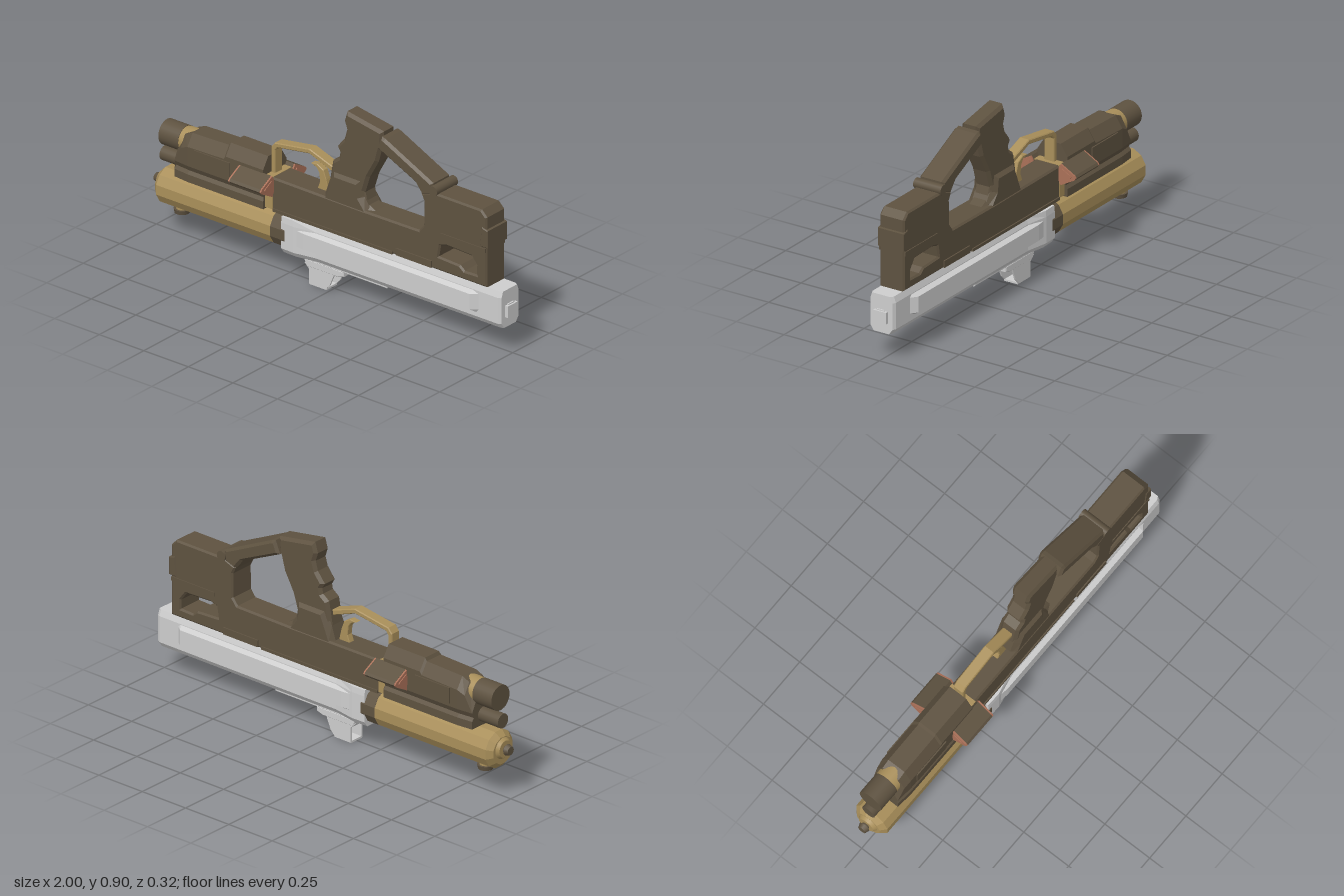
import * as THREE from 'three';

const mat = (name, color) => {
  const m = new THREE.MeshStandardMaterial({ color });
  m.name = name;
  return m;
};

export function createModel() {
  const root = new THREE.Group();
  const dark = mat('dark olive brown', 0x5e5240);
  const gold = mat('antique gold', 0xa98f5a);
  const silver = mat('pale silver', 0xcdcdcd);
  const copper = mat('copper', 0xaa7058);

  const add = (name, geo, m) => {
    const mesh = new THREE.Mesh(geo, m);
    mesh.name = name;
    root.add(mesh);
    return mesh;
  };
  const flat = (g) => {
    const f = g.index ? g.toNonIndexed() : g;
    f.computeVertexNormals();
    return f;
  };
  const vecs = (pts) => pts.map(([x, y]) => new THREE.Vector2(x, y));

  // side profile in x,y, extruded symmetrically across z
  const slab = (name, pts, w, m, bevel = 0.01, holes = []) => {
    const s = new THREE.Shape(vecs(pts));
    holes.forEach((h) => s.holes.push(new THREE.Path(vecs(h))));
    const g = new THREE.ExtrudeGeometry(s, {
      depth: 2 * (w - bevel), bevelEnabled: bevel > 0, bevelThickness: bevel,
      bevelSize: bevel, bevelOffset: -bevel, bevelSegments: 1,
    });
    g.translate(0, 0, bevel - w);
    return add(name, g, m);
  };
  const box = (name, x0, x1, y0, y1, w, m) => {
    const g = new THREE.BoxGeometry(x1 - x0, y1 - y0, 2 * w);
    g.translate((x0 + x1) / 2, (y0 + y1) / 2, 0);
    return add(name, g, m);
  };
  // round part along x, r0 at the muzzle end
  const rod = (name, x0, x1, y, r0, r1, m, n = 24, faceted = false) => {
    const g = new THREE.CylinderGeometry(r0, r1, x1 - x0, n);
    if (faceted) g.rotateY(Math.PI / n);
    g.rotateZ(Math.PI / 2).translate((x0 + x1) / 2, y, 0);
    return add(name, faceted ? flat(g) : g, m);
  };
  // mirrored cross-sections [x, [[z, y] from top to bottom]] joined along x
  const loft = (name, sections, m) => {
    const rings = sections.map(([x, half]) => [
      ...half.map(([z, y]) => [x, y, z]),
      ...half.slice().reverse().map(([z, y]) => [x, y, -z]),
    ]);
    const p = [];
    const n = rings[0].length;
    for (let i = 0; i < rings.length - 1; i++) {
      for (let j = 0; j < n; j++) {
        const k = (j + 1) % n;
        const [a, b, c, d] = [rings[i][j], rings[i][k], rings[i + 1][k], rings[i + 1][j]];
        p.push(...a, ...b, ...c, ...a, ...c, ...d);
      }
    }
    const first = rings[0];
    const last = rings[rings.length - 1];
    for (let j = 1; j < n - 1; j++) {
      p.push(...first[0], ...first[j + 1], ...first[j]);
      p.push(...last[0], ...last[j], ...last[j + 1]);
    }
    const g = new THREE.BufferGeometry();
    g.setAttribute('position', new THREE.Float32BufferAttribute(p, 3));
    g.computeVertexNormals();
    return add(name, g, m);
  };

  // --- gold front tube with stepped nose and lower knob ---
  rod('frontTube', -0.93, -0.28, 0.22, 0.09, 0.09, gold, 12, true);
  rod('frontTubeBevel', -0.955, -0.93, 0.22, 0.065, 0.09, gold, 12, true);
  rod('noseDisc', -0.97, -0.955, 0.23, 0.04, 0.05, gold);
  rod('noseStem', -0.985, -0.965, 0.23, 0.018, 0.018, dark);
  rod('noseTip', -1, -0.98, 0.23, 0.02, 0.027, dark, 12);
  rod('tubeCollar', -0.29, -0.21, 0.22, 0.091, 0.091, dark, 12, true);
  const knob = new THREE.CylinderGeometry(0.028, 0.028, 0.05, 20);
  add('knobStem', knob.translate(-0.855, 0.135, 0), gold);
  const cap = new THREE.CylinderGeometry(0.038, 0.034, 0.02, 20);
  add('knobCap', cap.translate(-0.855, 0.114, 0), dark);

  // --- silver lower body, flared at its front, with side rails ---
  const core = (w, top) => [[top, 0.308], [w, 0.28], [w, 0.155], [w - 0.018, 0.13]];
  loft('lowerBody', [
    [-0.23, core(0.085, 0.082)], [-0.16, core(0.088, 0.085)],
    [-0.05, core(0.068, 0.058)], [0.97, core(0.066, 0.056)], [0.985, core(0.058, 0.048)],
  ], silver);
  const rail = (w) => [[0.05, 0.285], [w, 0.265], [w, 0.19], [0.05, 0.165]];
  loft('sideRails', [
    [-0.2, rail(0.078)], [-0.1, rail(0.09)], [0.83, rail(0.09)], [0.862, rail(0.066)],
  ], silver);
  box('endBoss', 0.98, 1, 0.18, 0.235, 0.034, silver);
  box('endLatch', 0.98, 0.992, 0.22, 0.24, 0.02, silver);

  // --- silver underside rail and hollow clip ---
  slab('bottomRail', [[-0.22, 0.14], [-0.2, 0.115], [0.325, 0.115], [0.325, 0.14]], 0.042, silver, 0.004);
  slab('clipMount', [[-0.14, 0.12], [-0.125, 0.085], [0.05, 0.085], [0.085, 0.095], [0.085, 0.12]], 0.042, silver, 0.004);
  const clipSide = [[-0.135, 0.1], [-0.11, 0.075], [-0.11, 0.004], [-0.02, 0.004], [0.005, 0.03], [0.035, 0.1]];
  for (const s of [1, -1]) {
    slab(s > 0 ? 'clipLeft' : 'clipRight', clipSide, 0.004, silver, 0).position.z = s * 0.036;
  }
  box('clipBase', -0.11, -0.015, 0, 0.009, 0.036, silver);

  // --- dark receiver with window and rear block ---
  slab('receiver', [
    [-0.3, 0.308], [0.905, 0.308], [0.905, 0.645], [0.875, 0.675], [0.6, 0.675], [0.535, 0.65],
    [0.552, 0.615], [0.55, 0.5], [0.525, 0.468], [0.2, 0.465], [-0.3, 0.468],
  ], 0.065, dark, 0.008, [[
    [0.635, 0.375], [0.645, 0.43], [0.68, 0.44], [0.82, 0.435], [0.85, 0.395],
    [0.85, 0.352], [0.78, 0.35], [0.755, 0.37],
  ]]);
  slab('rearPlate', [[0.87, 0.5], [0.915, 0.5], [0.915, 0.585], [0.88, 0.595]], 0.069, dark, 0.004);
  box('rearBand', 0.65, 0.9, 0.475, 0.495, 0.069, dark);
  box('lowerStrip', 0.4, 0.6, 0.312, 0.345, 0.071, dark);
  box('frontStrip', -0.29, 0.38, 0.308, 0.322, 0.071, dark);

  // --- grip with finger grooves, curved back into the receiver ---
  slab('grip', [
    [-0.01, 0.45], [0, 0.53], [0.02, 0.64], [0.055, 0.665], [0.06, 0.69], [0.045, 0.715],
    [0.085, 0.765], [0.098, 0.81], [0.085, 0.85], [0.1, 0.9], [0.305, 0.865], [0.3, 0.8],
    [0.275, 0.71], [0.225, 0.62], [0.2, 0.54], [0.215, 0.488], [0.26, 0.465], [0.28, 0.45],
  ], 0.046, dark, 0.014);
  slab('gripBase', [[-0.03, 0.44], [0, 0.53], [0.03, 0.6], [0.19, 0.6], [0.2, 0.52], [0.25, 0.44]], 0.062, dark, 0.025);
  slab('topStrut', [
    [0.285, 0.79], [0.31, 0.85], [0.33, 0.845], [0.6, 0.715], [0.6, 0.66], [0.54, 0.64], [0.5, 0.69],
  ], 0.065, dark, 0.012);
  const hinge = new THREE.CylinderGeometry(0.024, 0.024, 0.144, 16);
  add('strutHinge', hinge.rotateX(Math.PI / 2).translate(0.61, 0.685, 0), dark);

  // --- dark front housing, sight and lower rod ---
  const shell = (top, w = 0.08) => [
    [0.045, top], [w, top - 0.055], [w, 0.385], [w - 0.012, 0.36], [w, 0.345], [w, 0.308],
  ];
  loft('frontHousing', [
    [-0.84, shell(0.44, 0.072)], [-0.8, shell(0.515, 0.076)], [-0.76, shell(0.532)],
    [-0.555, shell(0.538)], [-0.545, shell(0.552)], [-0.335, shell(0.552)],
  ], dark);
  rod('sightBarrel', -0.94, -0.83, 0.467, 0.06, 0.06, dark, 28);
  rod('sightCollar', -0.835, -0.765, 0.467, 0.058, 0.062, gold, 28);
  rod('lowerRod', -0.955, -0.82, 0.36, 0.034, 0.034, dark, 20);
  for (const s of [1, -1]) {
    box('housingPanel', -0.72, -0.52, 0.4, 0.475, 0.004, dark).position.z = s * 0.082;
  }

  // --- triangular side pods with nested copper end plates ---
  const tri = (k) => {
    const [cz, cy] = [0.1, 0.432];
    return [[0.066, 0.462], [0.078, 0.483], [0.15, 0.443], [0.158, 0.432], [0.15, 0.421], [0.078, 0.381], [0.066, 0.402]]
      .map(([z, y]) => new THREE.Vector2(cz + (z - cz) * k, cy + (y - cy) * k));
  };
  const pod = (name, k, x0, x1, s, m) => {
    const g = new THREE.ExtrudeGeometry(new THREE.Shape(tri(k)), { depth: x1 - x0, bevelEnabled: false });
    g.rotateY(Math.PI / 2).translate(x0, 0, 0);
    // the profile now lies toward -z; turn it about the pod's middle for the other side
    if (s > 0) g.translate(-(x0 + x1) / 2, 0, 0).rotateY(Math.PI).translate((x0 + x1) / 2, 0, 0);
    add(name, g, m);
  };
  for (const s of [1, -1]) {
    pod('sidePod', 1, -0.462, -0.293, s, dark);
    pod('podEndPlates', 0.98, -0.47, -0.285, s, copper);
    pod('podInsets', 0.6, -0.474, -0.281, s, copper);
  }

  // --- gold trigger guard and trigger ---
  slab('triggerGuard', [
    [-0.335, 0.46], [-0.335, 0.59], [-0.315, 0.615], [-0.12, 0.645], [0.01, 0.6], [0.005, 0.575],
    [-0.122, 0.622], [-0.3, 0.595], [-0.312, 0.58], [-0.312, 0.46],
  ], 0.026, gold, 0.004);
  box('guardPost', -0.34, -0.295, 0.315, 0.47, 0.066, gold);
  slab('trigger', [
    [-0.12, 0.575], [-0.085, 0.58], [-0.05, 0.56], [-0.035, 0.52], [-0.02, 0.46],
    [-0.085, 0.46], [-0.07, 0.5], [-0.075, 0.54], [-0.09, 0.562],
  ], 0.016, gold, 0.003);

  return root;
}
